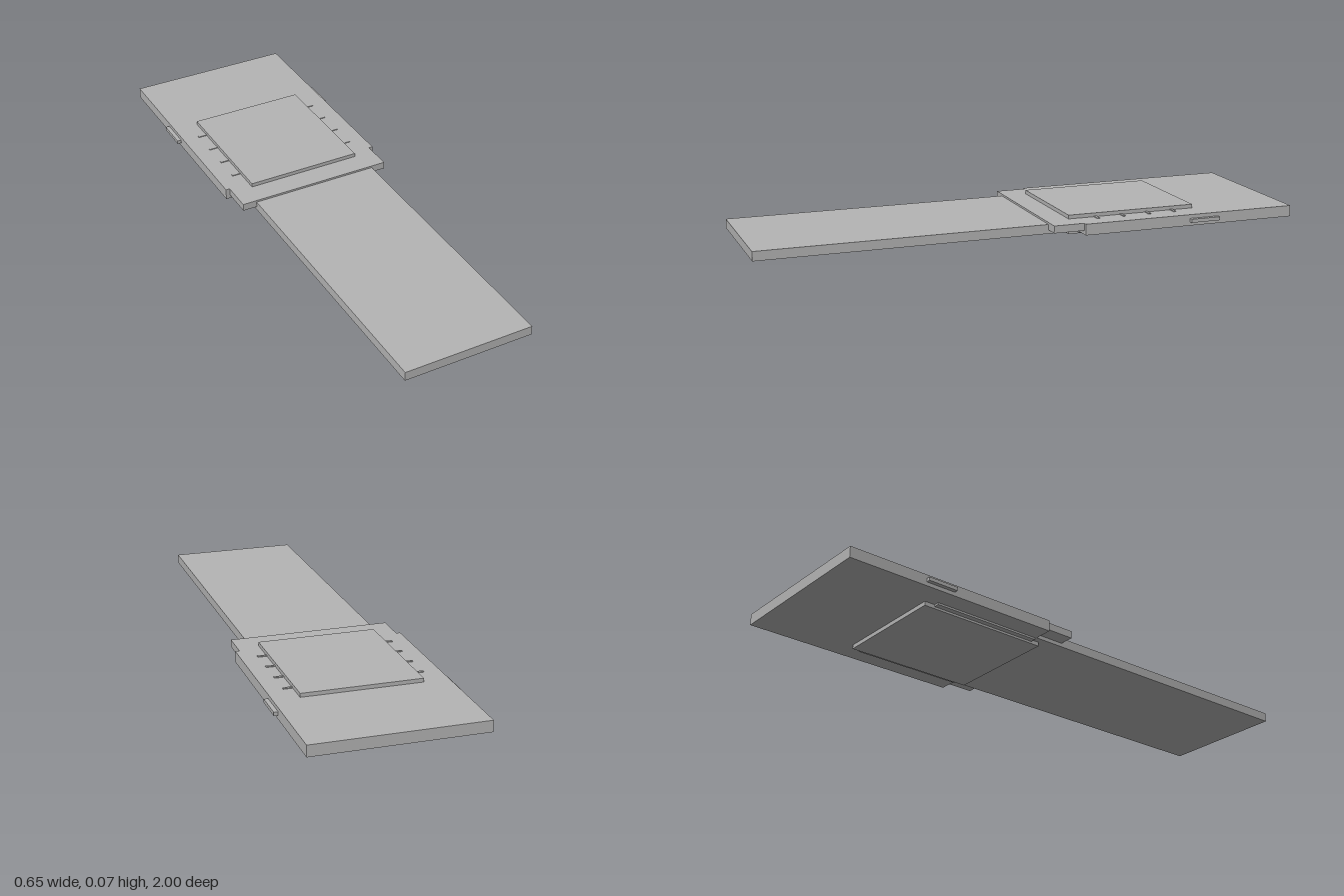
import * as THREE from 'three';

const grey = new THREE.MeshStandardMaterial({ color: 0xb4b4b4 });
grey.name = 'grey';

// Box given by its lower and upper limits on each axis.
function block(name, [x0, x1], [y0, y1], [z0, z1]) {
  const mesh = new THREE.Mesh(new THREE.BoxGeometry(x1 - x0, y1 - y0, z1 - z0), grey);
  mesh.position.set((x0 + x1) / 2, (y0 + y1) / 2, (z0 + z1) / 2);
  mesh.name = name;
  return mesh;
}

export function createModel() {
  const model = new THREE.Group();
  model.name = 'flatConnector';

  // Long tongue and the wider body behind it
  model.add(block('tongue', [-0.241, 0.241], [0.015, 0.049], [-0.175, 1]));
  model.add(block('body', [-0.31, 0.31], [0.015, 0.056], [-1, -0.175]));

  // Thin collar overhanging the root of the tongue
  model.add(block('collar', [-0.295, 0.295], [0.029, 0.056], [-0.175, -0.06]));

  // Raised pads on top and underneath
  model.add(block('topPad', [-0.217, 0.217], [0.05, 0.07], [-0.64, -0.147]));
  model.add(block('bottomPad', [-0.217, 0.217], [0, 0.02], [-0.64, -0.147]));
  model.add(block('bottomPlate', [-0.237, 0.237], [0.008, 0.02], [-0.6, -0.18]));

  for (const side of [-1, 1]) {
    // Side latches
    const latch = block('latch', [0.3, 0.325], [0.029, 0.042], [-0.7, -0.585]);
    latch.position.x *= side;
    model.add(latch);

    // Low ribs beside the top pad
    for (let i = 0; i < 4; i++) {
      const z = -0.25 - i * 0.101;
      const rib = block('rib', [0.2, 0.25], [0.05, 0.059], [z - 0.005, z + 0.005]);
      rib.position.x *= side;
      model.add(rib);
    }
  }
  return model;
}
